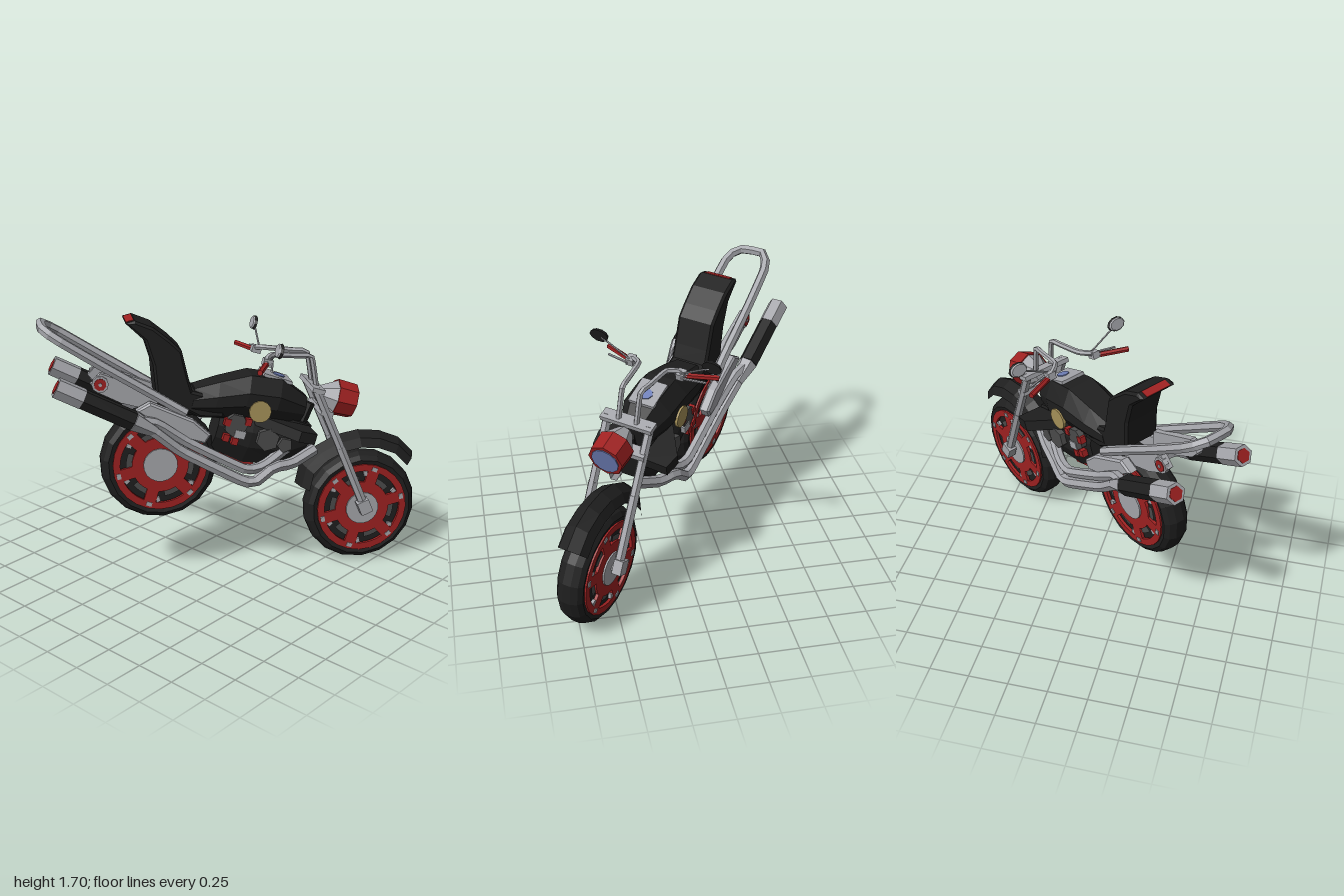
import * as THREE from 'three';

const mat = (name, color) => new THREE.MeshStandardMaterial({ name, color, flatShading: true, side: THREE.DoubleSide });

// Loft of octagonal sections along x: [x, yBottom, yTop, halfWidth]
const OCT = [[1, 0.35], [1, 0.65], [0.55, 1], [-0.55, 1], [-1, 0.65], [-1, 0.35], [-0.6, 0], [0.6, 0]];
function loft(stations) {
  const pos = [], idx = [], n = OCT.length, last = (stations.length - 1) * n;
  for (const [x, y0, y1, w] of stations) for (const [z, t] of OCT) pos.push(x, y0 + (y1 - y0) * t, z * w);
  for (let i = 0; i < stations.length - 1; i++) {
    for (let j = 0; j < n; j++) {
      const a = i * n + j, b = i * n + (j + 1) % n;
      idx.push(a, a + n, b, b, a + n, b + n);
    }
  }
  for (let j = 1; j < n - 1; j++) idx.push(0, j, j + 1, last, last + j + 1, last + j);
  const g = new THREE.BufferGeometry();
  g.setAttribute('position', new THREE.Float32BufferAttribute(pos, 3));
  g.setIndex(idx);
  g.computeVertexNormals();
  return g;
}

// Side profile extruded across z, centred on z
function prism(points, halfWidth, z = 0, bevel = 0) {
  const shape = new THREE.Shape(points.map(p => new THREE.Vector2(...p)));
  const depth = 2 * (halfWidth - bevel);
  return new THREE.ExtrudeGeometry(shape, { depth, bevelEnabled: bevel > 0, bevelSize: bevel, bevelThickness: bevel, bevelOffset: -bevel, bevelSegments: 1 })
    .translate(0, 0, z - depth / 2);
}

const V = p => new THREE.Vector3(...p);
const tube = (pts, r, seg = 18, sides = 6) =>
  new THREE.TubeGeometry(new THREE.CatmullRomCurve3(pts.map(V), false, 'catmullrom', 0.25), seg, r, sides);

// Straight rod between two points
function rod(a, b, r0, r1 = r0, sides = 6) {
  const p = V(a), d = V(b).sub(p), len = d.length();
  const q = new THREE.Quaternion().setFromUnitVectors(new THREE.Vector3(0, 1, 0), d.normalize());
  return new THREE.CylinderGeometry(r1, r0, len, sides).translate(0, len / 2, 0).applyQuaternion(q).translate(...a);
}
const discZ = (r, t, x, y, z, n = 12) => new THREE.CylinderGeometry(r, r, t, n).rotateX(Math.PI / 2).translate(x, y, z);
const box = (w, h, d, x, y, z) => new THREE.BoxGeometry(w, h, d).translate(x, y, z);

export function createModel() {
  const black = mat('black', 0x1f1f1f), silver = mat('silver', 0xa6a7ac), red = mat('red', 0xa02121);
  const grey = mat('darkGrey', 0x4c4c4c), blue = mat('lensBlue', 0x7080ba), gold = mat('gold', 0xa8935a);
  const bike = new THREE.Group();
  bike.name = 'motorcycle';
  const add = (name, geo, material, parent = bike) => {
    const m = new THREE.Mesh(geo, material);
    m.name = name;
    parent.add(m);
    return m;
  };

  // Wheels
  const arc = (path, r, a, b, cw) => path.absarc(0, 0, r, a, b, cw);
  function wheel(name, x, y, w) {
    const g = new THREE.Group();
    g.name = name;
    g.position.set(x, y, 0);
    bike.add(g);
    const prof = [[0.29, -0.9], [0.325, -1], [0.354, -0.75], [0.371, -0.3], [0.371, 0.3], [0.354, 0.75], [0.325, 1], [0.29, 0.9]];
    add('tyre', new THREE.LatheGeometry(prof.map(([r, h]) => new THREE.Vector2(r, h * w)), 18).rotateX(Math.PI / 2), black, g);
    add('wheelCore', discZ(0.29, 1.3 * w, 0, 0, 0, 24), black, g);
    const face = arc(new THREE.Shape(), 0.298, 0, Math.PI * 2, false);
    for (let i = 0; i < 6; i++) {
      const a = i * Math.PI / 3, h = new THREE.Path();
      arc(h, 0.252, a - 0.37, a + 0.37, false);
      arc(h, 0.178, a + 0.31, a - 0.31, true);
      h.closePath();
      face.holes.push(h);
    }
    for (const s of [1, -1]) {
      const z = s * 0.94 * w;
      add('rimFace', new THREE.ExtrudeGeometry(face, { depth: 0.02, bevelEnabled: false, curveSegments: 12 }).translate(0, 0, z - 0.01), red, g);
      add('hub', discZ(0.108, 0.04, 0, 0, z, 18), silver, g);
      for (let i = 0; i < 6; i++) {
        const a = i * Math.PI / 3;
        add('slotLining', new THREE.RingGeometry(0.178, 0.215, 6, 1, a - 0.12, 0.46).translate(0, 0, z - s * 0.002), grey, g);
        add('slotEnd', box(0.032, 0.026, 0.02, 0.222, -0.072, z - s * 0.002).rotateZ(a), silver, g);
        add('rimBolt', box(0.026, 0.036, 0.03, 0.268, 0.02, z).rotateZ(a + 0.45), silver, g);
      }
    }
  }
  wheel('rearWheel', 0, -0.01, 0.09);
  wheel('frontWheel', 1.3725, 0, 0.088);

  // Front mudguard: ridged section swept over the wheel
  const fp = [], fi = [], section = [[-0.1, 0.41], [-0.07, 0.465], [0, 0.5], [0.07, 0.465], [0.1, 0.41]];
  for (let i = 0; i <= 7; i++) {
    const a = (60 + i * 115 / 7) * Math.PI / 180, k = i === 7 ? 0.93 : i === 0 ? 0.98 : 1.02;
    for (const [z, r] of section) fp.push(1.3725 + Math.cos(a) * r * k, Math.sin(a) * r * k, z);
    if (i < 7) for (let j = 0; j < 4; j++) {
      const p = i * 5 + j;
      fi.push(p, p + 1, p + 5, p + 1, p + 6, p + 5);
    }
  }
  const guard = new THREE.BufferGeometry();
  guard.setAttribute('position', new THREE.Float32BufferAttribute(fp, 3));
  guard.setIndex(fi);
  guard.computeVertexNormals();
  add('frontMudguard', guard, black);

  // Tank, seat and body
  add('tank', loft([[0.08, 0.34, 0.51, 0.125], [0.22, 0.36, 0.59, 0.15], [0.4, 0.4, 0.68, 0.165], [0.6, 0.42, 0.7, 0.16], [0.8, 0.46, 0.62, 0.09]]), black);
  add('seat', prism([[-0.45, 0.808], [-0.31, 0.735], [-0.22, 0.6], [-0.15, 0.42], [0.15, 0.35], [0.3, 0.38], [0.28, 0.5], [0.06, 0.5],
    [0.01, 0.58], [-0.075, 0.73], [-0.16, 0.775], [-0.28, 0.825], [-0.4, 0.838]], 0.122, 0, 0.015), black);
  add('seatStrip', box(0.05, 0.006, 0.17, 0, 0, 0).rotateZ(0.54).translate(-0.425, 0.824, 0), red);
  add('dashPlate', box(0.19, 0.02, 0.17, 0, 0, 0).rotateZ(-0.06).translate(0.57, 0.696, 0), silver);
  add('dashLens', new THREE.CylinderGeometry(0.04, 0.04, 0.008, 8).rotateZ(-0.06).translate(0.59, 0.707, 0), blue);

  // Engine
  add('engineBlock', loft([[0.28, 0.16, 0.42, 0.11], [0.5, 0.12, 0.45, 0.13], [0.75, 0.16, 0.46, 0.13], [0.88, 0.27, 0.45, 0.1]]), black);
  add('sump', box(0.2, 0.06, 0.14, 0.48, 0.14, 0), red);
  add('downTube', rod([0.84, 0.58, 0], [0.8, 0.2, 0], 0.035), black);

  // Headlight
  add('headlightBack', new THREE.CylinderGeometry(0.11, 0.05, 0.11, 8).rotateZ(-Math.PI / 2).translate(0.925, 0.655, 0), silver);
  add('headlightShell', new THREE.CylinderGeometry(0.112, 0.118, 0.13, 8).rotateZ(-Math.PI / 2).translate(1.045, 0.655, 0), red);
  add('headlightLens', new THREE.CylinderGeometry(0.088, 0.088, 0.008, 12).rotateZ(-Math.PI / 2).translate(1.112, 0.655, 0), blue);

  // Fork crowns and axle
  add('upperCrown', box(0.08, 0.03, 0.34, 0.82, 0.7, 0), silver);
  add('lowerCrown', box(0.08, 0.035, 0.32, 0.92, 0.57, 0), silver);
  add('axle', discZ(0.02, 0.32, 1.3725, 0.01, 0, 8), silver);

  // Rear loop rail
  add('loopRail', tube([[0.05, 0.37, 0.16], [-0.13, 0.42, 0.15], [-0.5, 0.525, 0.15], [-0.82, 0.62, 0.14], [-0.91, 0.645, 0.08],
    [-0.92, 0.65, -0.08], [-0.82, 0.62, -0.14], [-0.5, 0.525, -0.15], [-0.13, 0.42, -0.15], [0.05, 0.37, -0.16]], 0.031, 30), silver);

  // Handlebar
  const bar = [[0.83, 0.7, 0.06], [0.74, 0.88, 0.06], [0.66, 0.87, 0.07], [0.49, 0.84, 0.09], [0.445, 0.82, 0.14], [0.43, 0.79, 0.2]];

  // Mirrored parts
  for (const s of [1, -1]) {
    const P = (x, y, z) => [x, y, s * z];
    add('forkLeg', rod(P(1.355, 0.04, 0.14), P(1.08, 0.375, 0.14), 0.031), silver);
    add('forkTube', rod(P(1.08, 0.375, 0.14), P(0.81, 0.7, 0.14), 0.029), silver);
    add('forkFoot', box(0.09, 0.08, 0.06, 0, 0, 0).rotateZ(-0.88).translate(1.36, 0.03, s * 0.15), silver);

    add('handlebar', tube(bar.map(p => P(...p)), 0.018), silver);
    add('grip', rod(P(0.435, 0.79, 0.19), P(0.36, 0.768, 0.375), 0.018), red);
    add('controlBox', box(0.06, 0.045, 0.05, 0.445, 0.8, s * 0.17), silver);
    add('lever', rod(P(0.475, 0.8, 0.18), P(0.44, 0.785, 0.33), 0.008), silver);
    add('mirrorStem', rod(P(0.46, 0.82, 0.17), P(0.44, 0.915, 0.36), 0.006), silver);
    const disc = r => new THREE.CylinderGeometry(r, r * 0.85, 0.02, 10).rotateZ(-Math.PI / 2).scale(1, 0.8, 1.1);
    add('mirrorShell', disc(0.058).translate(0.435, 0.925, s * 0.376), black);
    add('mirrorGlass', disc(0.054).scale(0.3, 1, 1).translate(0.424, 0.925, s * 0.376), silver);

    add('tankBadge', discZ(0.07, 0.02, 0.495, 0.487, s * 0.165, 14), gold);
    add('shroud', new THREE.ExtrudeGeometry(
      new THREE.Shape([[0.5, 0.1], [0.76, 0.27], [0.87, 0.25], [0.86, 0.08]].map(p => new THREE.Vector2(p[0], -s * p[1]))),
      { depth: 0.07, bevelEnabled: false }).rotateX(-Math.PI / 2).translate(0, 0.38, 0), black);
    add('engineCover', discZ(0.075, 0.04, 0.6, 0.32, s * 0.145, 6), grey);
    add('engineCover', discZ(0.05, 0.04, 0.72, 0.31, s * 0.14, 5), grey);
    add('gearCover', discZ(0.075, 0.04, 0.38, 0.36, s * 0.13, 7), grey);
    add('carburettor', box(0.07, 0.05, 0.05, 0.42, 0.31, s * 0.13), silver);
    for (const [x, y] of [[0.34, 0.27], [0.4, 0.26], [0.45, 0.4], [0.32, 0.37]])
      add('engineTrim', box(0.04, 0.045, 0.04, x, y, s * 0.138), red);

    // Silver side panels and rear lamps
    add('sidePanel', prism([[-0.26, 0.32], [-0.19, 0.39], [0.1, 0.345], [0.23, 0.28], [0.21, 0.215], [0, 0.22]], 0.035, s * 0.17, 0.012), silver);
    add('tailPlate', prism([[-0.56, 0.4], [-0.52, 0.48], [-0.15, 0.44], [-0.12, 0.33], [-0.35, 0.33], [-0.5, 0.36]], 0.02, s * 0.11), silver);
    add('lampBase', discZ(0.052, 0.03, -0.505, 0.415, s * 0.125, 10), silver);
    add('lamp', discZ(0.038, 0.012, -0.505, 0.415, s * 0.14, 8), red);
    add('lampBulb', discZ(0.012, 0.006, -0.505, 0.415, s * 0.147, 6), silver);

    // Exhausts
    add('lowerPipe', tube([P(0.94, 0.31, 0.08), P(0.8, 0.2, 0.14), P(0.68, 0.16, 0.18), P(0.59, 0.05, 0.2), P(0.5, 0.04, 0.2),
      P(0.08, 0.14, 0.21), P(-0.12, 0.23, 0.24), P(-0.27, 0.275, 0.25)], 0.037, 24), silver);
    add('upperPipe', tube([P(0.75, 0.28, 0.1), P(0.62, 0.15, 0.16), P(0.5, 0.11, 0.18), P(0.1, 0.2, 0.19), P(-0.12, 0.28, 0.22),
      P(-0.24, 0.28, 0.245)], 0.034, 20), silver);
    add('mufflerCone', rod(P(-0.12, 0.235, 0.24), P(-0.27, 0.273, 0.25), 0.037, 0.064), silver);
    add('mufflerSleeve', rod(P(-0.27, 0.273, 0.25), P(-0.6, 0.335, 0.25), 0.064), black);
    add('mufflerTip', rod(P(-0.6, 0.335, 0.25), P(-0.77, 0.367, 0.25), 0.066), silver);
    add('mufflerBore', rod(P(-0.765, 0.366, 0.25), P(-0.774, 0.368, 0.25), 0.045), red);
  }

  // Pose: nose down, turned and leaning slightly
  const f = new THREE.Vector3(0.7395, -0.295, 0.605).normalize();
  const u = new THREE.Vector3(0.266, 0.953, 0.139);
  const r = new THREE.Vector3().crossVectors(f, u).normalize();
  u.crossVectors(r, f);
  bike.quaternion.setFromRotationMatrix(new THREE.Matrix4().makeBasis(f, u, r));
  bike.position.set(-0.33, 0.774, -0.22);

  const model = new THREE.Group();
  model.name = 'model';
  model.add(bike);
  return model;
}
